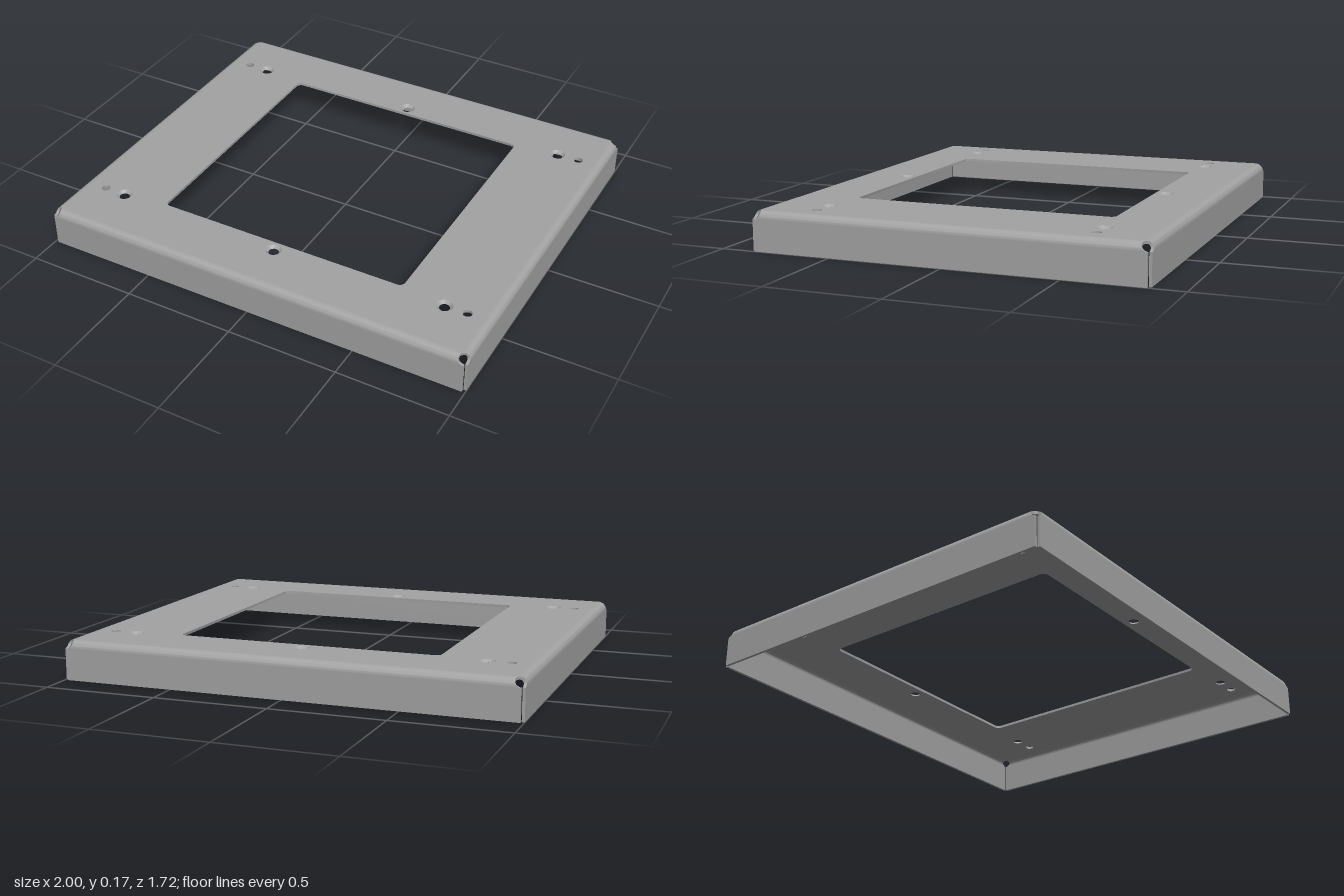
import * as THREE from 'three';
import { toCreasedNormals } from 'three/addons/utils/BufferGeometryUtils.js';

const W = 1, D = 0.86, H = 0.172;    // half width, half depth, height
const T = 0.012, R = 0.032;          // sheet thickness, outer bend radius
const DRILL = 0.022, SINK = 0.035;   // lower and upper radius of countersunk holes
const material = new THREE.MeshStandardMaterial({ color: 0xa3a3a3 });

// Hole centres as [x, z]
const plainHoles = [], sunkHoles = [];
for (const sz of [-1, 1]) {
  sunkHoles.push([0, sz * 0.632]);
  for (const sx of [-1, 1]) {
    sunkHoles.push([sx * 0.787, sz * 0.61]);
    plainHoles.push([sx * 0.888, sz * 0.61]);
  }
}

// Square window centred on the origin, with rounded corners
function roundedSquare(h, r) {
  const path = new THREE.Path(), c = h - r;
  [[c, c], [-c, c], [-c, -c], [c, -c]].forEach(([x, y], i) => {
    path.absarc(x, y, r, i * Math.PI / 2, (i + 1) * Math.PI / 2);
  });
  return path;
}

// Flat top plate with window and round holes
function topPlate() {
  const x = W - R, y = D - R;
  const shape = new THREE.Shape();
  shape.moveTo(-x, -y).lineTo(x, -y).lineTo(x, y).lineTo(-x, y);
  shape.holes.push(roundedSquare(0.585, 0.025));
  const drill = r => ([cx, cz]) => shape.holes.push(new THREE.Path().absarc(cx, -cz, r, 0, Math.PI * 2, true));
  plainHoles.forEach(drill(0.02));
  sunkHoles.forEach(drill(SINK));

  const geo = new THREE.ExtrudeGeometry(shape, { depth: T, bevelEnabled: false, curveSegments: 16 });
  geo.rotateX(-Math.PI / 2).translate(0, H - T, 0);
  return toCreasedNormals(geo, 0.5);
}

// Conical seat that narrows a hole towards the underside
function countersink() {
  const profile = [[SINK, H], [DRILL, H - T], [SINK, H - T]].map(p => new THREE.Vector2(...p));
  return toCreasedNormals(new THREE.LatheGeometry(profile, 32), 0.5);
}

// Bent flange facing +z; its ends are cut by round corner reliefs
function flange(halfLength, distance) {
  const reliefR = 0.026, reliefS = 0.02, bendLength = 0.041;
  const steps = 12, stations = [];
  for (let i = 0; i <= steps; i++) stations.push(bendLength * i / steps);
  stations.push(0.043, 0.045, 0.046, bendLength + H - R);

  const pos = [], index = [];
  stations.forEach((s, i) => {
    const a = Math.min(s / bendLength, 1) * Math.PI / 2;
    const drop = Math.max(s - bendLength, 0);
    const cut = Math.sqrt(Math.max(reliefR ** 2 - (s - reliefS) ** 2, 0));
    const L = halfLength - cut;
    for (const [x, r] of [[-L, R], [L, R], [L, R - T], [-L, R - T]]) {
      pos.push(x, H - R + r * Math.cos(a) - drop, distance - R + r * Math.sin(a));
    }
    if (i === 0) return;
    for (let j = 0; j < 4; j++) {
      const k = (j + 1) % 4, u = (i - 1) * 4, v = i * 4;
      index.push(u + j, v + j, v + k, u + j, v + k, u + k);
    }
  });
  // Bottom edge
  const e = (stations.length - 1) * 4;
  index.push(e + 3, e + 2, e + 1, e + 3, e + 1, e);

  const geo = new THREE.BufferGeometry();
  geo.setAttribute('position', new THREE.Float32BufferAttribute(pos, 3));
  geo.setIndex(index);
  return toCreasedNormals(geo, 0.5);
}

export function createModel() {
  const group = new THREE.Group();
  group.name = 'sheetMetalPanel';
  const add = (name, geo, turn = 0) => {
    const mesh = new THREE.Mesh(geo, material);
    mesh.name = name;
    mesh.rotation.y = turn;
    group.add(mesh);
    return mesh;
  };

  add('topPlate', topPlate());
  const seat = countersink();
  sunkHoles.forEach(([x, z]) => add('countersink', seat).position.set(x, 0, z));

  const gap = T + 0.002; // small slit where neighbouring flanges meet
  const longFlange = flange(W - gap, D), sideFlange = flange(D - gap, W);
  add('frontFlange', longFlange);
  add('backFlange', longFlange, Math.PI);
  add('leftFlange', sideFlange, Math.PI / 2);
  add('rightFlange', sideFlange, -Math.PI / 2);
  return group;
}
